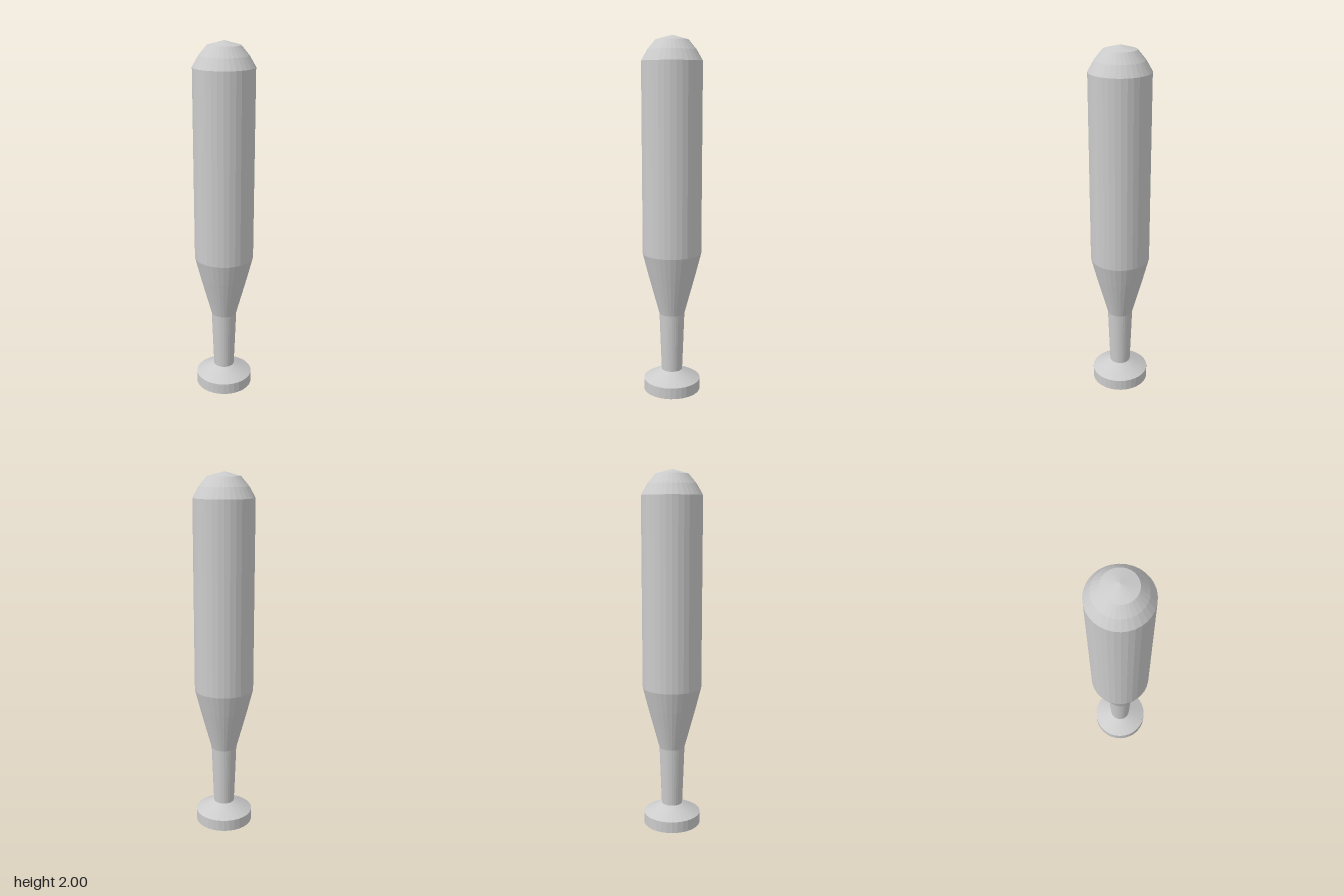
import * as THREE from 'three';

const SIDES = 32;

// Turned part from [radius, height] pairs, bottom to top
function turned(name, profile, material) {
  const points = profile.map(([r, y]) => new THREE.Vector2(r, y));
  const mesh = new THREE.Mesh(new THREE.LatheGeometry(points, SIDES), material);
  mesh.name = name;
  return mesh;
}

export function createModel() {
  const model = new THREE.Group();
  model.name = 'bat';
  const material = new THREE.MeshStandardMaterial({ color: 0xcccccc, flatShading: true });

  // Flared end knob with a shallow domed underside
  model.add(turned('knob', [
    [0, 0], [0.08, 0.019], [0.158, 0.053], [0.158, 0.116], [0.058, 0.17],
  ], material));

  // Slim grip, slightly wider towards the barrel
  model.add(turned('handle', [[0.058, 0.17], [0.064, 0.33], [0.07, 0.5]], material));

  // Taper, straight barrel and rounded tip
  model.add(turned('barrel', [
    [0.07, 0.5], [0.132, 0.73], [0.161, 0.845], [0.161, 1.87],
    [0.128, 1.927], [0.086, 1.977], [0, 2],
  ], material));

  return model;
}
